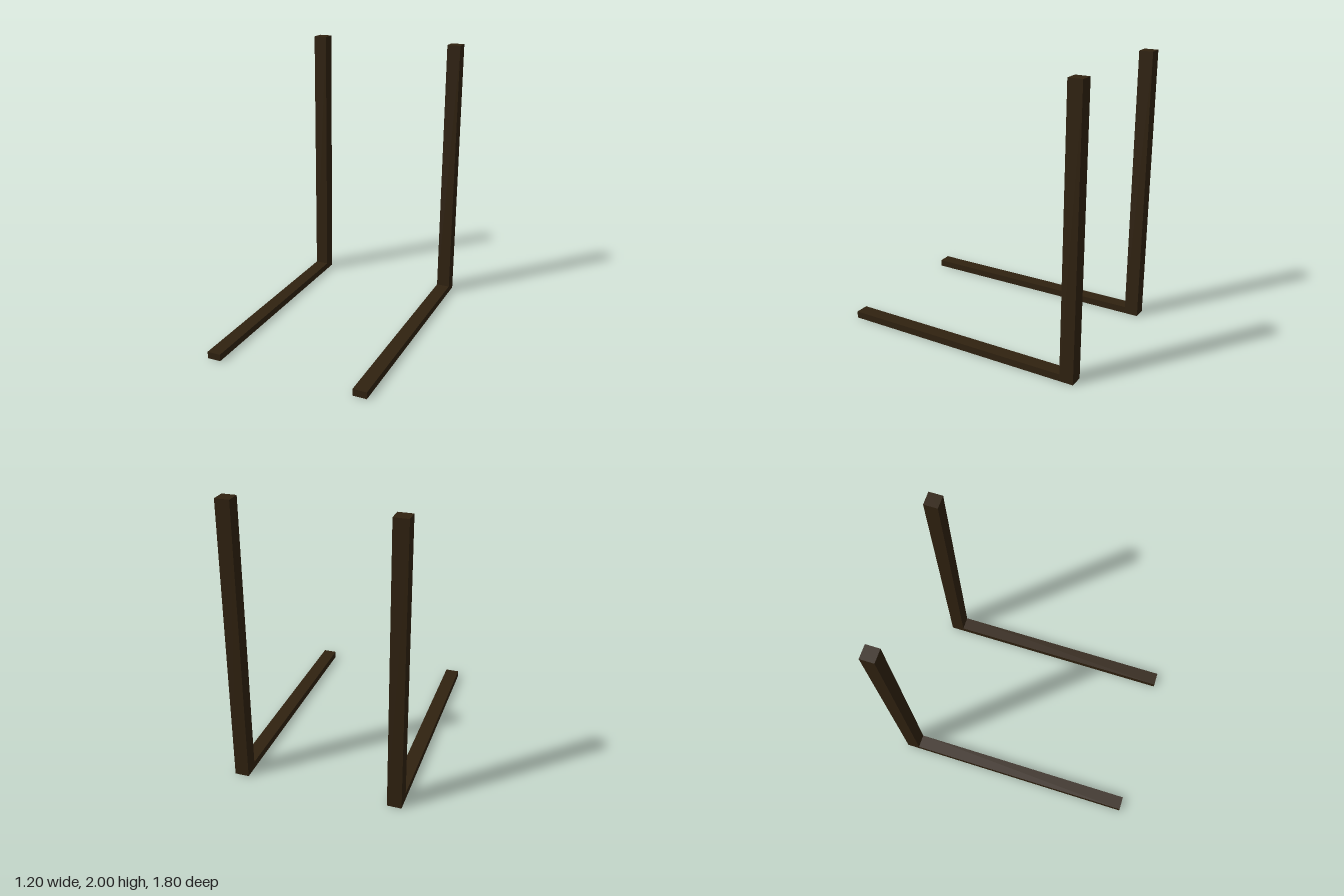
import * as THREE from 'three';

export function createModel() {
  const model = new THREE.Group();
  model.name = 'forkPair';

  const darkBrown = new THREE.MeshStandardMaterial({ color: 0x302210 });
  darkBrown.name = 'darkBrown';

  const addBox = (parent, name, size, position) => {
    const mesh = new THREE.Mesh(new THREE.BoxGeometry(...size), darkBrown);
    mesh.name = name;
    mesh.position.set(...position);
    parent.add(mesh);
  };

  // Two L-shaped forks: an upright at the back and a flat tine reaching forward
  for (const [side, x] of [['left', 0.55], ['right', -0.55]]) {
    const fork = new THREE.Group();
    fork.name = side + 'Fork';
    fork.position.x = x;
    addBox(fork, side + 'Upright', [0.1, 2, 0.1], [0, 1, -0.85]);
    addBox(fork, side + 'Tine', [0.1, 0.05, 1.7], [0, 0.025, 0.05]);
    model.add(fork);
  }

  return model;
}
